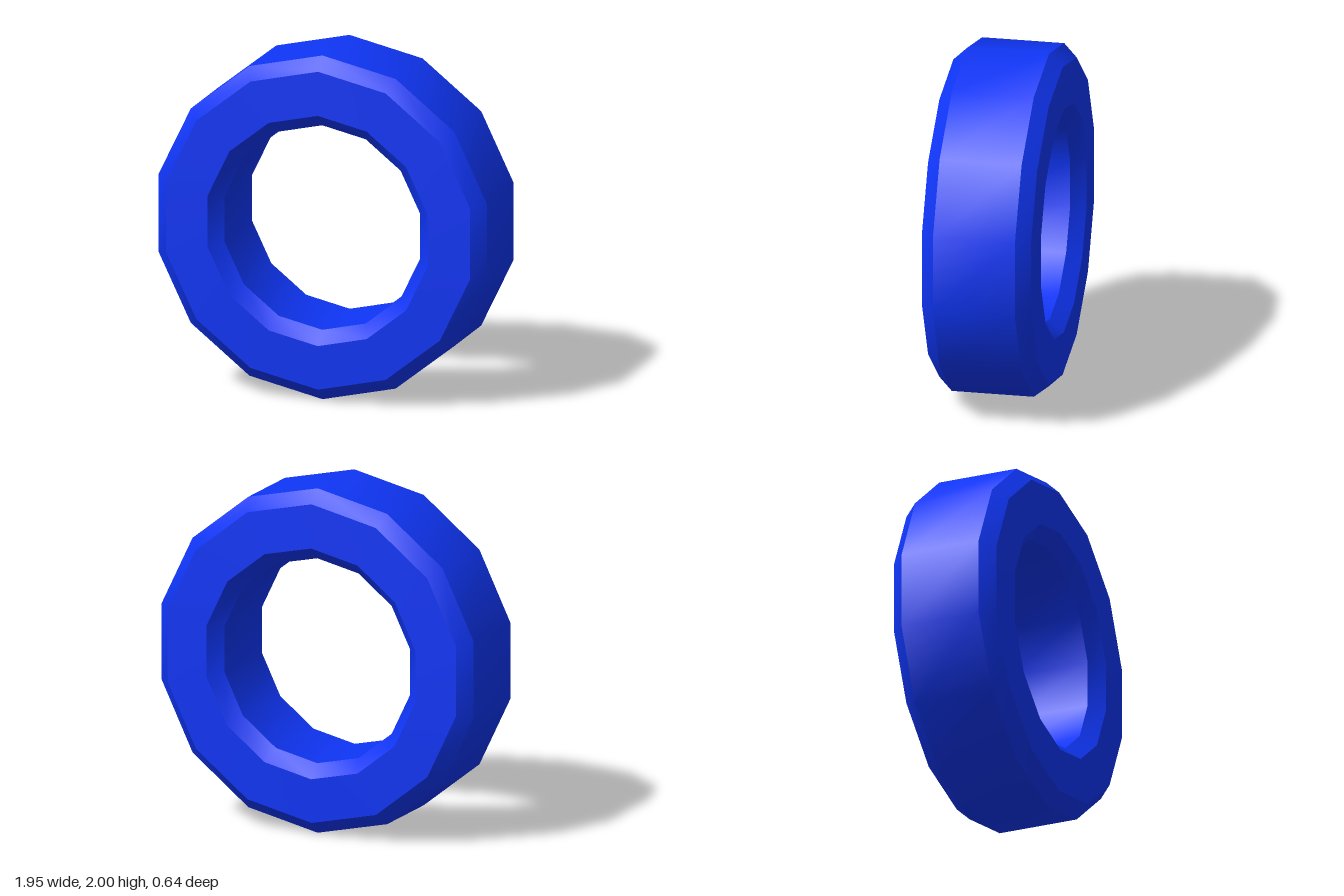
import * as THREE from 'three';
import { toCreasedNormals } from 'three/addons/utils/BufferGeometryUtils.js';

const SIDES = 14;

export function createModel() {
  const group = new THREE.Group();
  group.name = 'ring';

  // Half of the chamfered cross-section (radius, depth), from bore to rim
  const half = [
    [0.595, 0.24], // bore
    [0.67, 0.32],  // inner chamfer
    [0.925, 0.313], // gently sloped side wall
    [1.0, 0.235],  // outer chamfer to tread
  ];

  // Closed section: back side outwards, then front side inwards
  const profile = [
    ...half.map(([r, z]) => new THREE.Vector2(r, -z)),
    ...[...half].reverse().map(([r, z]) => new THREE.Vector2(r, z)),
  ];
  profile.push(profile[0].clone());

  // Revolve, turn the axis to z, stay smooth around and sharp at the chamfers
  const lathe = new THREE.LatheGeometry(profile, SIDES).rotateX(Math.PI / 2);
  const geometry = toCreasedNormals(lathe, THREE.MathUtils.degToRad(34));

  const tyre = new THREE.Mesh(geometry, new THREE.MeshStandardMaterial({ color: 0x0f35f5 }));
  tyre.name = 'tyre';
  tyre.position.y = 1;
  group.add(tyre);
  return group;
}
